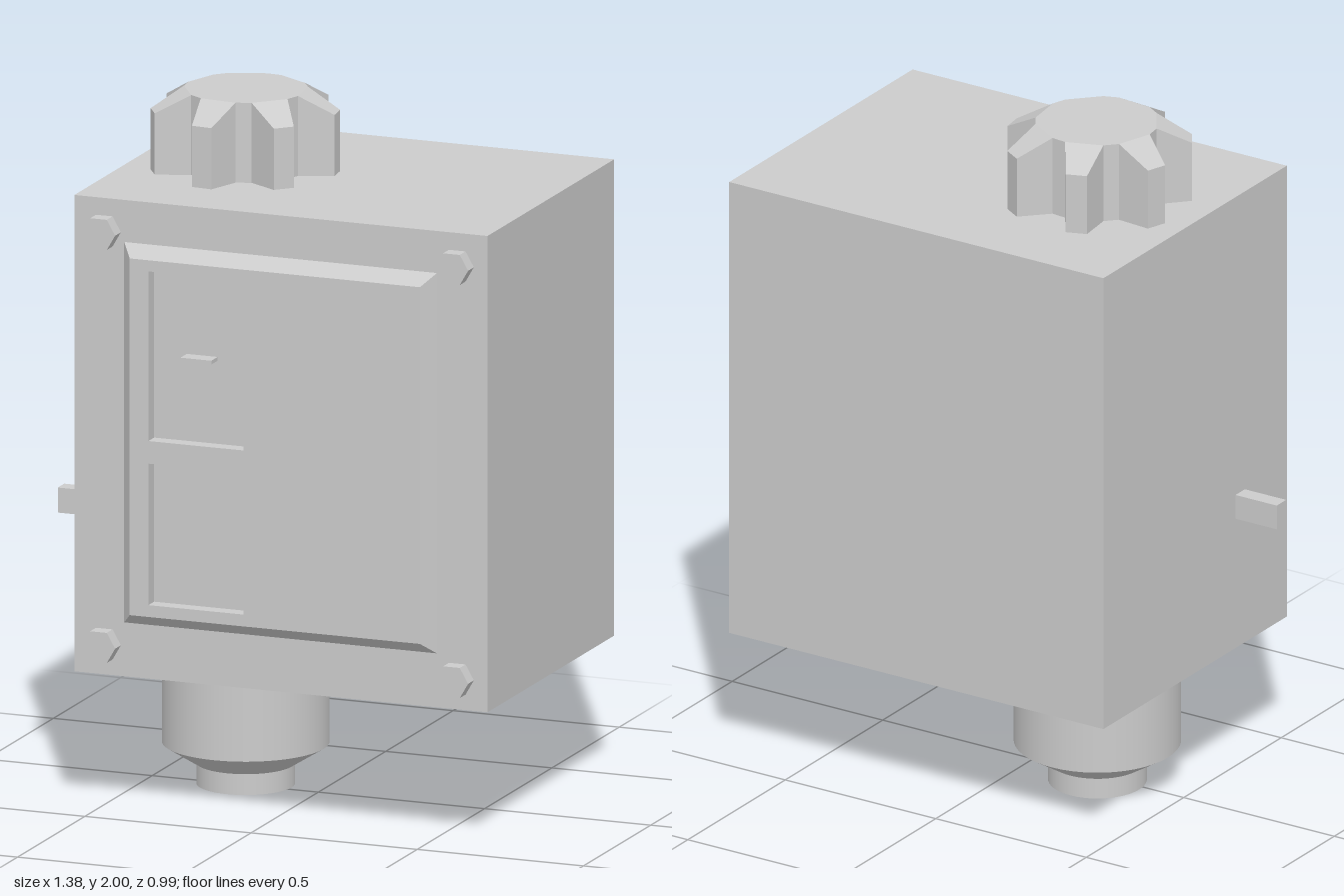
import * as THREE from 'three';

const grey = new THREE.MeshStandardMaterial({ color: 0xcccccc });
const flat = new THREE.MeshStandardMaterial({ color: 0xcccccc, flatShading: true });

const FRONT = 0.447;                 // front face of the housing
const AXIS = { x: -0.227, z: -0.021 }; // shared axis of knob and bottom connector

function add(group, name, geometry, material = flat) {
  const mesh = new THREE.Mesh(geometry, material);
  mesh.name = name;
  group.add(mesh);
  return mesh;
}

// Box given by its minimum and maximum along each axis
function box(x0, x1, y0, y1, z0, z1) {
  return new THREE.BoxGeometry(x1 - x0, y1 - y0, z1 - z0)
    .translate((x0 + x1) / 2, (y0 + y1) / 2, (z0 + z1) / 2);
}

function rectangle(PathType, x0, x1, y0, y1) {
  return new PathType([[x0, y0], [x1, y0], [x1, y1], [x0, y1]].map(p => new THREE.Vector2(...p)));
}

// Bevelled plate with two rectangular windows cut through it
function panelGeometry() {
  const [x0, x1, y0, y1] = [-0.369, 0.504, 0.589, 1.615];
  const bevel = 0.034;
  const shape = rectangle(THREE.Shape, x0, x1, y0, y1);
  shape.holes.push(
    rectangle(THREE.Path, -0.313, -0.027, 1.095, 1.583),
    rectangle(THREE.Path, -0.313, -0.027, 0.623, 1.03));
  const geo = new THREE.ExtrudeGeometry(shape, { depth: 0.043, bevelEnabled: false });
  // Spread the rear outline outwards to slope the four sides
  const pos = geo.attributes.position;
  const spread = (v, lo, hi) =>
    Math.abs(v - lo) < 1e-4 ? lo - bevel : Math.abs(v - hi) < 1e-4 ? hi + bevel : v;
  for (let i = 0; i < pos.count; i++) {
    if (pos.getZ(i) < 1e-4) {
      pos.setXY(i, spread(pos.getX(i), x0, x1), spread(pos.getY(i), y0, y1));
    }
  }
  geo.computeVertexNormals();
  return geo.translate(0, 0, FRONT);
}

// Seven-lobed knob whose lobes slope down from a flat top
function knobGeometry() {
  const lobes = 7, step = (Math.PI * 2) / lobes, start = 0.125;
  const height = 0.23, tipHeight = 0.176;
  const verts = [];
  const at = (r, a, y) => [r * Math.cos(a), y, -r * Math.sin(a)];
  const tri = (...p) => p.forEach(v => verts.push(...v));
  const quad = (a, b, c, d) => { tri(a, b, c); tri(a, c, d); };
  const ground = p => [p[0], 0, p[2]];
  for (let i = 0; i < lobes; i++) {
    const a = start + i * step;
    const root0 = at(0.174, a - 0.32, height), root1 = at(0.174, a + 0.32, height);
    const tip0 = at(0.266, a - 0.115, tipHeight), tip1 = at(0.266, a + 0.115, tipHeight);
    const next = at(0.174, a + step - 0.32, height);
    const outline = [root0, tip0, tip1, root1, next];
    for (let k = 0; k < 4; k++) {
      quad(ground(outline[k]), ground(outline[k + 1]), outline[k + 1], outline[k]);
    }
    quad(root0, tip0, tip1, root1);
    tri([0, height, 0], root0, root1);
    tri([0, height, 0], root1, next);
  }
  const geo = new THREE.BufferGeometry();
  geo.setAttribute('position', new THREE.Float32BufferAttribute(verts, 3));
  geo.computeVertexNormals();
  return geo;
}

export function createModel() {
  const model = new THREE.Group();
  model.name = 'controlBox';

  add(model, 'housing', box(-0.553, 0.69, 0.40, 1.77, -0.494, FRONT));
  add(model, 'frontPanel', panelGeometry());
  add(model, 'scalePointer', box(-0.215, -0.122, 1.334, 1.345, FRONT, 0.494));
  add(model, 'sidePin', box(-0.69, -0.553, 0.793, 0.865, 0.184, 0.232));

  // Hexagonal bolts at the four corners
  const bolt = new THREE.CylinderGeometry(0.05, 0.05, 0.043, 6)
    .rotateY(Math.PI / 6).rotateX(Math.PI / 2);
  for (const x of [-0.463, 0.599]) {
    for (const y of [0.488, 1.676]) {
      add(model, 'cornerBolt', bolt).position.set(x, y, FRONT + 0.0215);
    }
  }

  add(model, 'knob', knobGeometry()).position.set(AXIS.x, 1.77, AXIS.z);

  // Bottom connector: sleeve, taper and end stub
  const connector = new THREE.Group();
  connector.name = 'bottomConnector';
  connector.position.set(AXIS.x, 0, AXIS.z);
  const sections = [
    ['connectorStub', 0.138, 0.138, 0, 0.06],
    ['connectorTaper', 0.138, 0.234, 0.06, 0.12],
    ['connectorSleeve', 0.234, 0.234, 0.12, 0.40],
  ];
  for (const [name, rLow, rHigh, y0, y1] of sections) {
    const geo = new THREE.CylinderGeometry(rHigh, rLow, y1 - y0, 48);
    add(connector, name, geo, grey).position.y = (y0 + y1) / 2;
  }
  model.add(connector);

  return model;
}
